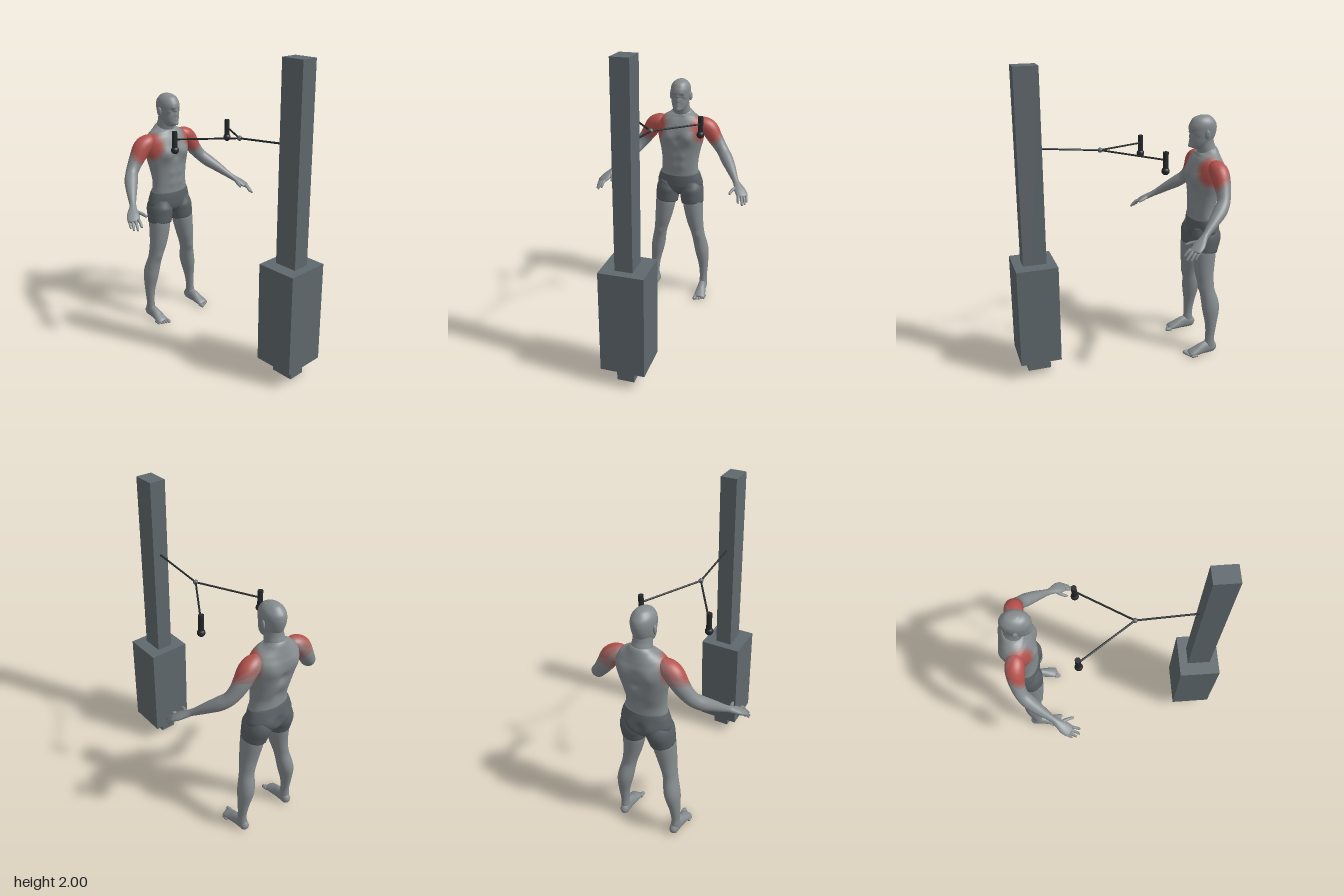
import * as THREE from 'three';

const mat = (name, color) => {
  const m = new THREE.MeshStandardMaterial({ color });
  m.name = name;
  return m;
};

export function createModel() {
  const model = new THREE.Group();
  model.name = 'cableTrainingFigure';
  const steel = mat('steel grey', 0x5f686d);
  const black = mat('cable black', 0x25292b);
  const skin = mat('skin grey', 0x858b8e);
  const shortsMat = mat('shorts grey', 0x596064);
  const red = mat('muscle red', 0xb5534e);
  const rose = mat('muscle rose', 0xa56663);
  const pale = mat('muscle pale', 0x957977);
  const muscleMats = [skin, pale, rose, red];

  const add = (parent, name, geo, material, x = 0, y = 0, z = 0) => {
    const m = new THREE.Mesh(geo, material);
    m.name = name;
    m.position.set(x, y, z);
    parent.add(m);
    return m;
  };

  // Highlighted shoulder muscle: bands that fade away from the deltoid
  const muscleBand = (p) => {
    const d = Math.hypot(Math.abs(p.x) - 0.2, p.y - 1.31, p.z + 0.55);
    return d < 0.097 ? 3 : d < 0.113 ? 2 : d < 0.128 ? 1 : 0;
  };

  // Smooth skin through sections [x, y, z, radiusU, radiusV];
  // bumps [x, y, z, reach, dx, dy, dz] swell or sink the surface on both sides
  function loft(parent, name, secs, material, { ref = [0, 0, 1], n = 24, sub = 5, bumps = [], band = null } = {}) {
    const path = new THREE.CatmullRomCurve3(secs.map((s) => new THREE.Vector3(s[0], s[1], s[2])));
    const size = new THREE.CatmullRomCurve3(secs.map((s) => new THREE.Vector3(s[3], s[4], 0)));
    path.curveType = size.curveType = 'catmullrom';
    const rows = (secs.length - 1) * sub;
    const up = new THREE.Vector3(...ref);
    const verts = [];
    for (let i = 0; i <= rows; i++) {
      const t = i / rows;
      const c = path.getPoint(t), r = size.getPoint(t), T = path.getTangent(t);
      const U = new THREE.Vector3().crossVectors(T, up).normalize();
      const V = new THREE.Vector3().crossVectors(T, U);
      for (let j = 0; j < n; j++) {
        const a = (j / n) * Math.PI * 2;
        verts.push(c.clone().addScaledVector(U, r.x * Math.cos(a)).addScaledVector(V, r.y * Math.sin(a)));
      }
    }
    verts.push(path.getPoint(0), path.getPoint(1));
    for (const v of verts) {
      const p = v.clone();
      for (const [x, y, z, reach, dx, dy, dz] of bumps) {
        for (const s of x === 0 ? [1] : [1, -1]) {
          const d2 = (p.x - s * x) ** 2 + (p.y - y) ** 2 + (p.z - z) ** 2;
          const w = Math.exp(-d2 / (reach * reach));
          v.x += s * dx * w; v.y += dy * w; v.z += dz * w;
        }
      }
    }
    const lists = [[], [], [], []];
    const tri = (a, b, c) => {
      const mid = verts[a].clone().add(verts[b]).add(verts[c]).divideScalar(3);
      lists[band ? band(mid) : 0].push(a, b, c);
    };
    const first = verts.length - 2, last = verts.length - 1;
    for (let j = 0; j < n; j++) {
      const k = (j + 1) % n;
      for (let i = 0; i < rows; i++) {
        tri(i * n + j, i * n + k, (i + 1) * n + k);
        tri(i * n + j, (i + 1) * n + k, (i + 1) * n + j);
      }
      tri(first, k, j);
      tri(last, rows * n + j, rows * n + k);
    }
    const geo = new THREE.BufferGeometry().setFromPoints(verts);
    geo.setIndex(lists.flat());
    geo.computeVertexNormals();
    if (band) {
      let start = 0;
      lists.forEach((l, i) => { geo.addGroup(start, l.length, i); start += l.length; });
    }
    return add(parent, name, geo, band ? muscleMats : material);
  }

  // Cable machine: post, weight block, forked cable and two handles
  const machine = new THREE.Group();
  machine.name = 'cableMachine';
  model.add(machine);
  add(machine, 'post', new THREE.BoxGeometry(0.11, 1.99, 0.15), steel, 0, 1.005, 0.575);
  add(machine, 'weightBlock', new THREE.BoxGeometry(0.28, 0.66, 0.265), steel, 0, 0.44, 0.575);
  const hub = new THREE.Vector3(0, 1.463, 0.125);
  const cable = (name, a, b, r) =>
    add(machine, name, new THREE.TubeGeometry(new THREE.LineCurve3(a, b), 1, r, 10), black);
  cable('mainCable', new THREE.Vector3(0, 1.502, 0.51), hub, 0.006);
  add(machine, 'cableHub', new THREE.SphereGeometry(0.016, 20, 14), steel, hub.x, hub.y, hub.z);
  for (const s of [1, -1]) {
    const x = s * 0.227, z = -0.222;
    cable('sideCable', hub, new THREE.Vector3(x, 1.43, z), 0.006);
    add(machine, 'handleGrip', new THREE.CylinderGeometry(0.017, 0.017, 0.115, 20), black, x, 1.423, z);
    add(machine, 'handleBall', new THREE.SphereGeometry(0.025, 24, 16), black, x, 1.36, z);
  }

  const figure = new THREE.Group();
  figure.name = 'figure';
  model.add(figure);

  // Torso with chest, shoulder blades, belly and spine groove
  loft(figure, 'torso', [
    [0, 0.94, -0.578, 0.138, 0.082], [0, 1.03, -0.575, 0.131, 0.083], [0, 1.12, -0.583, 0.141, 0.096],
    [0, 1.2, -0.588, 0.16, 0.105], [0, 1.27, -0.59, 0.17, 0.106], [0, 1.33, -0.598, 0.165, 0.098],
    [0, 1.37, -0.604, 0.132, 0.082], [0, 1.4, -0.606, 0.085, 0.068], [0, 1.425, -0.602, 0.055, 0.055],
  ], skin, {
    n: 64, sub: 7, band: muscleBand, bumps: [
      [0.075, 1.24, -0.49, 0.05, 0, 0, 0.022], [0, 1.22, -0.48, 0.025, 0, 0, -0.008],
      [0.09, 1.28, -0.68, 0.06, 0, 0, -0.02], [0, 1.2, -0.69, 0.035, 0, 0, 0.018],
      [0, 1.07, -0.67, 0.04, 0, 0, 0.012], [0.035, 1.1, -0.49, 0.025, 0, 0, 0.006],
      [0.035, 1.03, -0.49, 0.025, 0, 0, 0.006], [0, 1.36, -0.53, 0.03, 0, 0, -0.01],
    ],
  });
  loft(figure, 'neck', [
    [0, 1.34, -0.61, 0.07, 0.06], [0, 1.4, -0.6, 0.064, 0.062], [0, 1.45, -0.585, 0.056, 0.06], [0, 1.52, -0.58, 0.052, 0.055],
  ], skin);

  // Head with nose, brow, lips and eye sockets
  loft(figure, 'head', [
    [0, 1.427, -0.505, 0.018, 0.022], [0, 1.438, -0.51, 0.036, 0.04], [0, 1.465, -0.53, 0.052, 0.063],
    [0, 1.5, -0.552, 0.062, 0.085], [0, 1.54, -0.562, 0.067, 0.093], [0, 1.575, -0.565, 0.068, 0.092],
    [0, 1.605, -0.566, 0.06, 0.079], [0, 1.627, -0.567, 0.042, 0.056], [0, 1.638, -0.567, 0.022, 0.03],
    [0, 1.641, -0.567, 0.004, 0.005],
  ], skin, {
    n: 64, sub: 6, bumps: [
      [0, 1.508, -0.467, 0.013, 0, 0, 0.02], [0, 1.525, -0.469, 0.011, 0, 0, 0.011],
      [0.027, 1.538, -0.478, 0.014, 0, 0, -0.011], [0.025, 1.556, -0.474, 0.014, 0, 0, 0.004],
      [0, 1.478, -0.472, 0.013, 0, 0, 0.009], [0, 1.442, -0.475, 0.02, 0, 0, 0.01],
    ],
  });

  // Shorts
  loft(figure, 'shortsHips', [
    [0, 0.79, -0.578, 0.03, 0.04], [0, 0.825, -0.583, 0.11, 0.085], [0, 0.87, -0.587, 0.165, 0.096],
    [0, 0.925, -0.582, 0.158, 0.093], [0, 0.968, -0.577, 0.143, 0.086],
  ], shortsMat, { n: 48, bumps: [[0.07, 0.87, -0.68, 0.045, 0, 0, -0.012], [0, 0.88, -0.685, 0.03, 0, 0, 0.015]] });

  for (const s of [1, -1]) {
    const side = new THREE.Group();
    side.name = s > 0 ? 'leftLimbs' : 'rightLimbs';
    figure.add(side);
    const m = (secs) => secs.map(([x, ...rest]) => [s * x, ...rest]);
    const limb = (name, secs, material, opts) => loft(side, name, m(secs), material, opts);
    const flat = { ref: [0, 1, 0] };

    const ear = add(side, 'ear', new THREE.SphereGeometry(1, 16, 12), skin, s * 0.07, 1.525, -0.568);
    ear.scale.set(0.01, 0.03, 0.018);
    ear.rotation.y = s * -0.35;

    limb('shortsLeg', [
      [0.075, 0.9, -0.582, 0.07, 0.08], [0.086, 0.84, -0.583, 0.085, 0.1],
      [0.093, 0.78, -0.576, 0.084, 0.092], [0.097, 0.738, -0.572, 0.08, 0.085],
    ], shortsMat, { n: 32 });

    limb('leg', [
      [0.1, 0.8, -0.57, 0.07, 0.075], [0.105, 0.72, -0.567, 0.072, 0.078], [0.122, 0.6, -0.565, 0.06, 0.066],
      [0.138, 0.52, -0.572, 0.05, 0.056], [0.15, 0.46, -0.58, 0.047, 0.052], [0.165, 0.38, -0.597, 0.05, 0.06],
      [0.175, 0.32, -0.602, 0.048, 0.058], [0.187, 0.22, -0.602, 0.035, 0.04], [0.19, 0.13, -0.598, 0.027, 0.032],
      [0.19, 0.07, -0.598, 0.029, 0.036], [0.19, 0.03, -0.598, 0.026, 0.03],
    ], skin, { n: 32, bumps: [[0.148, 0.49, -0.52, 0.03, 0, 0, 0.008]] });

    // Foot and toes
    limb('foot', [
      [0.187, 0.028, -0.645, 0.012, 0.014], [0.187, 0.035, -0.63, 0.027, 0.034], [0.188, 0.047, -0.595, 0.03, 0.047],
      [0.19, 0.043, -0.55, 0.032, 0.043], [0.192, 0.03, -0.5, 0.038, 0.03], [0.194, 0.02, -0.46, 0.04, 0.019],
      [0.194, 0.015, -0.445, 0.032, 0.012],
    ], skin, flat);
    for (let i = 0; i < 5; i++) {
      const x = 0.163 + i * 0.0165, r = i === 0 ? 0.013 : 0.0095, tip = -0.412 - 0.009 * i;
      limb('toe', [
        [x, r + 0.003, tip - 0.045, r, r], [x, r + 0.001, tip - 0.02, r, r], [x, r, tip - 0.005, r * 0.8, r * 0.8], [x, r, tip, r * 0.2, r * 0.2],
      ], skin, { ...flat, n: 12, sub: 3 });
    }

    // Arm running from the shoulder to the palm
    limb('arm', [
      [0.11, 1.335, -0.6, 0.03, 0.03], [0.155, 1.327, -0.6, 0.055, 0.05], [0.2, 1.295, -0.604, 0.06, 0.06],
      [0.24, 1.235, -0.605, 0.054, 0.054], [0.275, 1.185, -0.6, 0.045, 0.047], [0.31, 1.14, -0.583, 0.042, 0.042],
      [0.345, 1.1, -0.545, 0.044, 0.042], [0.385, 1.057, -0.49, 0.036, 0.034], [0.425, 1.01, -0.43, 0.024, 0.024],
      [0.443, 0.99, -0.402, 0.022, 0.02], [0.46, 0.974, -0.38, 0.029, 0.019], [0.485, 0.95, -0.345, 0.041, 0.018],
      [0.505, 0.93, -0.315, 0.038, 0.013], [0.511, 0.924, -0.306, 0.025, 0.007],
    ], skin, { ...flat, n: 40, sub: 6, band: muscleBand });

    // Fingers spread and slightly curled, then the thumb
    const digit = (name, a, b, c, r) => limb(name, [
      [...a, r * 1.1, r * 1.1], [...b, r, r], [...c, r * 0.75, r * 0.75],
      c.map((v, i) => v + (c[i] - b[i]) * 0.12).concat(r * 0.2, r * 0.2),
    ], skin, { ...flat, n: 12, sub: 4 });
    const tips = [[0.488, 0.9, -0.253], [0.515, 0.885, -0.258], [0.53, 0.884, -0.28], [0.537, 0.892, -0.305]];
    tips.forEach((tip, i) => {
      const base = [0.481 + i * 0.0145, 0.937 - i * 0.003, -0.297 - i * 0.0145];
      const mid = base.map((v, k) => (v + tip[k]) / 2 + (k === 1 ? 0.006 : 0));
      digit('finger', base, mid, tip, i === 3 ? 0.008 : 0.0095);
    });
    digit('thumb', [0.456, 0.967, -0.367], [0.433, 0.957, -0.324], [0.423, 0.945, -0.288], 0.011);
  }
  return model;
}
